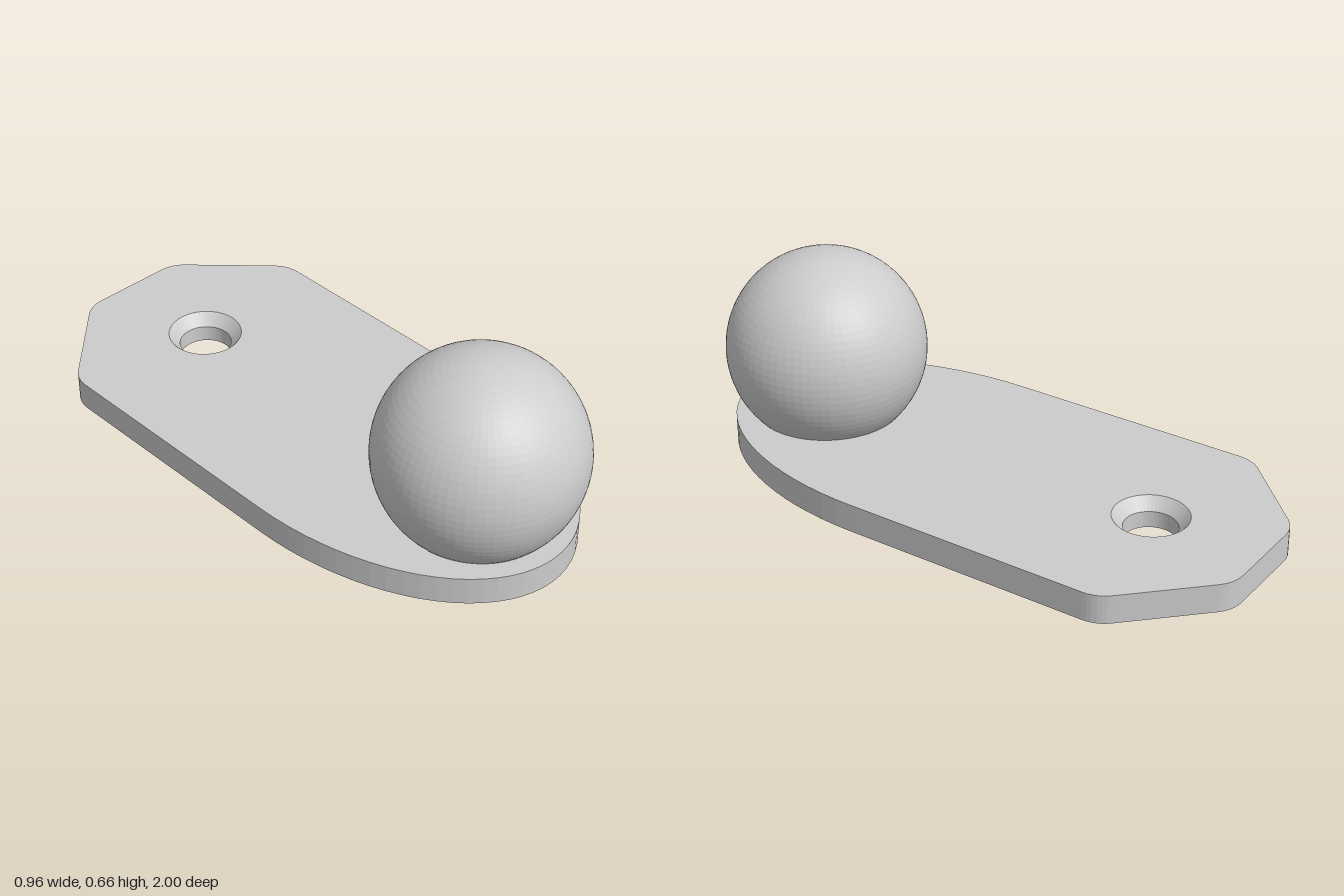
import * as THREE from 'three';

const HALF_WIDTH = 0.48, THICKNESS = 0.097, HOLE_Z = -0.605;
const HOLE_TOP = 0.124, HOLE_BOTTOM = 0.088, SINK_DEPTH = 0.04;

// Small rounded corner between two straight edges
function roundCorner(prev, corner, next, size) {
  const toward = (p) => corner.clone().add(p.clone().sub(corner).setLength(size));
  return new THREE.QuadraticBezierCurve(toward(prev), corner, toward(next)).getPoints(6);
}

// Plate outline as (x, z): elliptical front, chamfered back
function plateOutline() {
  const points = [];
  const steps = 40;
  for (let i = 0; i <= steps; i++) {
    const t = (Math.PI * i) / steps;
    points.push(new THREE.Vector2(HALF_WIDTH * Math.cos(t), 0.2 + 0.775 * Math.sin(t)));
  }
  const back = [[-0.48, 0.2], [-0.48, -0.705], [-0.185, -1], [0.185, -1], [0.48, -0.705], [0.48, 0.2]]
    .map(([x, z]) => new THREE.Vector2(x, z));
  for (let i = 1; i < back.length - 1; i++) {
    points.push(...roundCorner(back[i - 1], back[i], back[i + 1], 0.05));
  }
  return points;
}

// Flat face of the plate with a round hole; facing is 1 for up, -1 for down
function plateFace(outline, holeRadius, facing) {
  const shape = new THREE.Shape(outline.map((p) => new THREE.Vector2(p.x, -facing * p.y)));
  const hole = new THREE.Path();
  hole.absarc(0, -facing * HOLE_Z, holeRadius, 0, Math.PI * 2, true);
  shape.holes.push(hole);
  return new THREE.ShapeGeometry(shape, 24).rotateX((-facing * Math.PI) / 2);
}

// Vertical wall following the outline
function plateWall(outline) {
  const positions = [], indices = [], n = outline.length;
  outline.forEach((p, i) => {
    positions.push(p.x, 0, p.y, p.x, THICKNESS, p.y);
    const a = 2 * i, b = 2 * ((i + 1) % n);
    indices.push(a, a + 1, b, b, a + 1, b + 1);
  });
  const geometry = new THREE.BufferGeometry();
  geometry.setAttribute('position', new THREE.Float32BufferAttribute(positions, 3));
  geometry.setIndex(indices);
  geometry.computeVertexNormals();
  return geometry;
}

export function createModel() {
  const model = new THREE.Group();
  model.name = 'ballPlate';
  const grey = new THREE.MeshStandardMaterial({ color: 0xcccccc, flatShading: true });
  grey.name = 'light grey';

  const plate = new THREE.Group();
  plate.name = 'basePlate';
  model.add(plate);
  const add = (parent, name, geometry, x = 0, y = 0, z = 0) => {
    const mesh = new THREE.Mesh(geometry, grey);
    mesh.name = name;
    mesh.position.set(x, y, z);
    parent.add(mesh);
  };

  // Base plate
  const outline = plateOutline();
  add(plate, 'plateTop', plateFace(outline, HOLE_TOP, 1), 0, THICKNESS, 0);
  add(plate, 'plateUnderside', plateFace(outline, HOLE_BOTTOM, -1));
  add(plate, 'plateEdge', plateWall(outline));

  // Countersunk screw hole, walls facing its axis
  const holeProfile = [
    [HOLE_TOP, THICKNESS], [HOLE_BOTTOM, THICKNESS - SINK_DEPTH], [HOLE_BOTTOM, 0],
  ].map(([r, y]) => new THREE.Vector2(r, y));
  add(plate, 'screwHole', new THREE.LatheGeometry(holeProfile, 48), 0, 0, HOLE_Z);

  // Ball, cut off just inside the plate
  const radius = 0.337, centreY = 0.323;
  const cut = Math.acos((THICKNESS - 0.005 - centreY) / radius);
  add(model, 'ball', new THREE.SphereGeometry(radius, 72, 30, 0, Math.PI * 2, 0, cut), 0, centreY, 0.663);

  return model;
}
